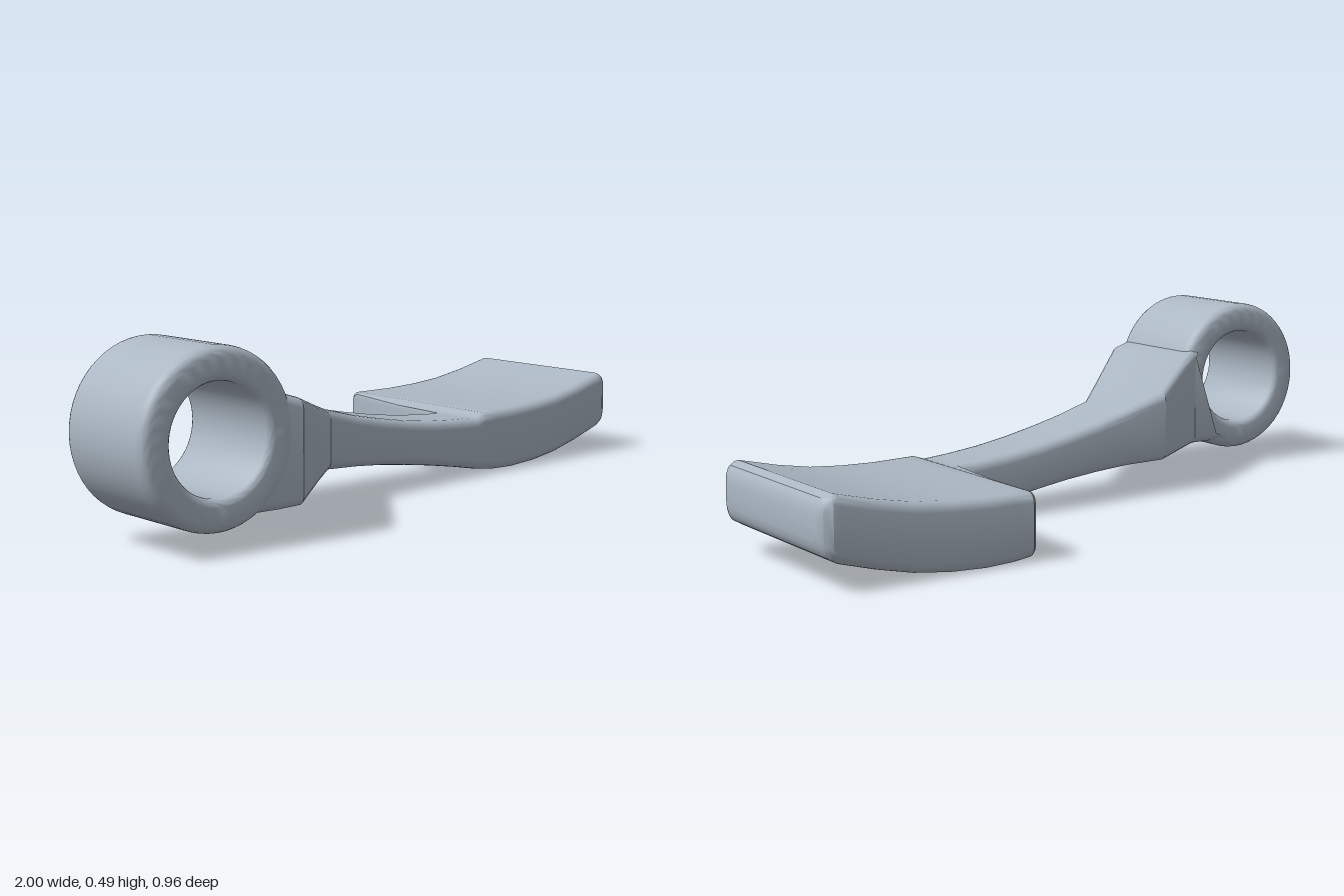
import * as THREE from 'three';
import { toCreasedNormals } from 'three/addons/utils/BufferGeometryUtils.js';

const RING = { x: -0.78, y: 0.275, outer: 0.22, inner: 0.137, back: 0.157, front: 0.48 };

// Outlines of the lever as [x, value] points
const TOP = [[-0.6, 0.37], [-0.535, 0.35], [-0.34, 0.292], [-0.21, 0.255], [-0.1, 0.227], [0, 0.207], [0.1, 0.19],
  [0.2, 0.177], [0.3, 0.169], [0.385, 0.165], [0.42, 0.177], [0.55, 0.178], [0.65, 0.183], [0.75, 0.193],
  [0.85, 0.212], [0.96, 0.239], [0.985, 0.23], [0.997, 0.21], [1, 0.185]];
const BOTTOM = [[-0.7, 0.083], [-0.5, 0.09], [-0.34, 0.095], [-0.21, 0.095], [-0.1, 0.089], [0, 0.08], [0.1, 0.067],
  [0.2, 0.052], [0.3, 0.035], [0.4, 0.016], [0.47, 0.007], [0.55, 0.004], [0.65, 0.009], [0.75, 0.022],
  [0.85, 0.045], [0.95, 0.073], [0.985, 0.093], [0.997, 0.112], [1, 0.13]];
const FRONT = [[-0.6, 0.475], [-0.535, 0.475], [-0.21, 0.18], [0.97, 0.044], [0.99, 0.03], [1, 0.012]];
const BACK = [[-0.6, 0.15], [-0.34, -0.035], [0.365, -0.06], [0.405, -0.465], [0.42, -0.48], [0.97, -0.48],
  [0.99, -0.468], [1, -0.45]];

function at(table, x) {
  if (x <= table[0][0]) return table[0][1];
  for (let i = 1; i < table.length; i++) {
    const [x0, v0] = table[i - 1], [x1, v1] = table[i];
    if (x <= x1) return v0 + (v1 - v0) * (x - x0) / (x1 - x0);
  }
  return table[table.length - 1][1];
}

// Rounded rectangle across the lever at x, as [z, y] points
function section(x) {
  const y0 = at(BOTTOM, x), y1 = at(TOP, x), z0 = at(BACK, x), z1 = at(FRONT, x);
  const r = Math.min(0.025, (y1 - y0) * 0.45), steps = 4, points = [];
  const corners = [[z1 - r, y1 - r], [z0 + r, y1 - r], [z0 + r, y0 + r], [z1 - r, y0 + r]];
  corners.forEach(([z, y], c) => {
    for (let k = 0; k <= steps; k++) {
      const a = (c + k / steps) * Math.PI / 2;
      points.push([z + r * Math.cos(a), y + r * Math.sin(a)]);
    }
  });
  return points;
}

function leverGeometry() {
  const xs = [TOP, BOTTOM, FRONT, BACK].flat().map(p => p[0]).filter(x => x > -0.6);
  const stations = [...new Set(xs)].sort((a, b) => a - b);
  // The root follows a curve hidden inside the ring wall
  const rootX = y => RING.x + Math.sqrt(Math.max(0, 0.19 ** 2 - (y - RING.y) ** 2));
  const root = section(-0.6);
  const rows = [
    root.map(([z, y]) => [rootX(y), y, z]),
    root.map(([z, y]) => [Math.max(rootX(y) + 0.002, -0.6), y, z]),
    ...stations.map(x => section(x).map(([z, y]) => [x, y, z])),
  ];
  const n = root.length, index = [];
  for (let i = 0; i < rows.length - 1; i++) {
    for (let j = 0; j < n; j++) {
      const k = (j + 1) % n;
      const a = i * n + j, b = i * n + k, c = a + n, d = b + n;
      index.push(a, c, b, b, c, d);
    }
  }
  // Flat cap on the pad end
  const last = (rows.length - 1) * n;
  for (let j = 1; j < n - 1; j++) index.push(last, last + j + 1, last + j);
  const geometry = new THREE.BufferGeometry();
  geometry.setAttribute('position', new THREE.Float32BufferAttribute(rows.flat(2), 3));
  geometry.setIndex(index);
  return toCreasedNormals(geometry, 0.5);
}

// Tube wall with rounded rims, turned around the z axis
function ringGeometry() {
  const { outer, inner, back, front } = RING, points = [];
  const round = (r, z, radius, start) => {
    for (let k = 0; k <= 5; k++) {
      const a = start + k / 5 * Math.PI / 2;
      points.push(new THREE.Vector2(r + radius * Math.cos(a), z + radius * Math.sin(a)));
    }
  };
  const ro = 0.028, ri = 0.02;
  round(outer - ro, back + ro, ro, -Math.PI / 2);
  round(outer - ro, front - ro, ro, 0);
  round(inner + ri, front - ri, ri, Math.PI / 2);
  round(inner + ri, back + ri, ri, Math.PI);
  points.push(points[0].clone());
  return toCreasedNormals(new THREE.LatheGeometry(points, 56).rotateX(Math.PI / 2), 0.5);
}

export function createModel() {
  const model = new THREE.Group();
  model.name = 'pedalLever';
  const metal = new THREE.MeshStandardMaterial({ color: 0xabb7c3 });
  metal.name = 'blue grey metal';

  const ring = new THREE.Mesh(ringGeometry(), metal);
  ring.name = 'pivotRing';
  ring.position.set(RING.x, RING.y, 0);

  const lever = new THREE.Mesh(leverGeometry(), metal);
  lever.name = 'armAndPad';

  model.add(ring, lever);
  return model;
}
